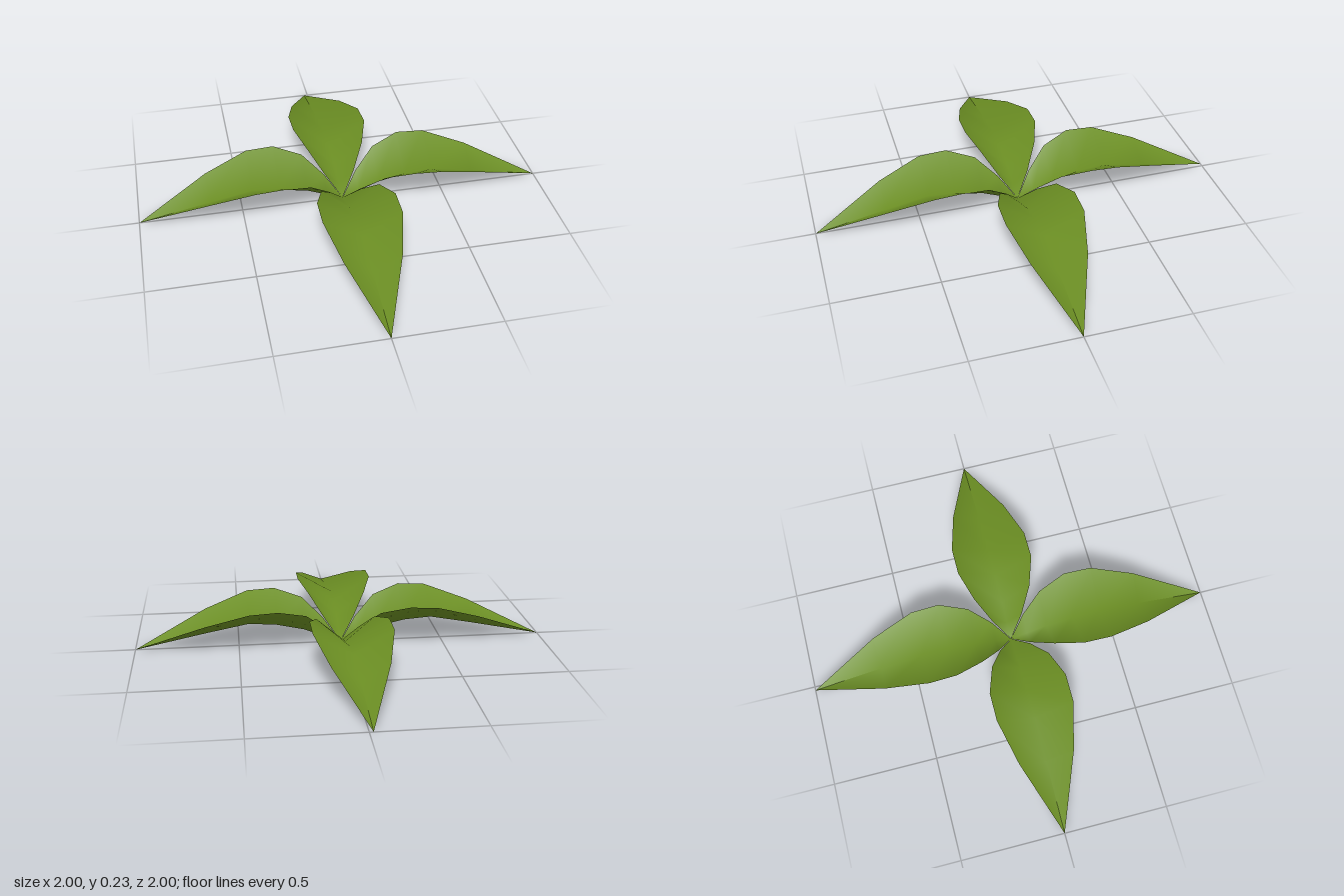
import * as THREE from 'three';

// Leaf cross-sections: distance from centre, half width, fold height, edge height
const SECTIONS = [
  [0, 0, 0, 0],
  [0.08, 0.075, 0.03, 0.1],
  [0.18, 0.14, 0.07, 0.19],
  [0.315, 0.185, 0.1, 0.228],
  [0.45, 0.185, 0.11, 0.22],
  [0.66, 0.132, 0.07, 0.15],
  [1, 0, 0, 0],
];

// One V-folded leaf reaching out along +z
function leafGeometry() {
  const positions = [];
  const index = [];
  for (const [r, w, fold, edge] of SECTIONS) {
    positions.push(-w, edge, r, 0, fold, r, w, edge, r);
  }
  for (let i = 0; i < SECTIONS.length - 1; i++) {
    for (let j = 0; j < 2; j++) {
      const a = i * 3 + j, b = a + 1, c = a + 3, d = a + 4;
      if (i > 0) index.push(a, d, b);
      if (i < SECTIONS.length - 2) index.push(a, c, d);
      else continue;
      if (i === 0) index.splice(-3, 3, 1, 3 + j, 4 + j);
    }
  }
  const geometry = new THREE.BufferGeometry();
  geometry.setAttribute('position', new THREE.Float32BufferAttribute(positions, 3));
  geometry.setIndex(index);
  geometry.computeVertexNormals();
  return geometry;
}

export function createModel() {
  const group = new THREE.Group();
  group.name = 'plant';
  const leafGreen = new THREE.MeshStandardMaterial({ color: 0x6b8e23, side: THREE.DoubleSide });
  leafGreen.name = 'leaf green';

  // Four leaves around the centre, the back one turned very slightly
  const geometry = leafGeometry();
  const leaves = [
    ['frontLeaf', 0],
    ['leftLeaf', Math.PI / 2],
    ['backLeaf', Math.PI + 0.018],
    ['rightLeaf', -Math.PI / 2],
  ];
  for (const [name, angle] of leaves) {
    const leaf = new THREE.Mesh(geometry, leafGreen);
    leaf.name = name;
    leaf.rotation.y = angle;
    group.add(leaf);
  }
  return group;
}
